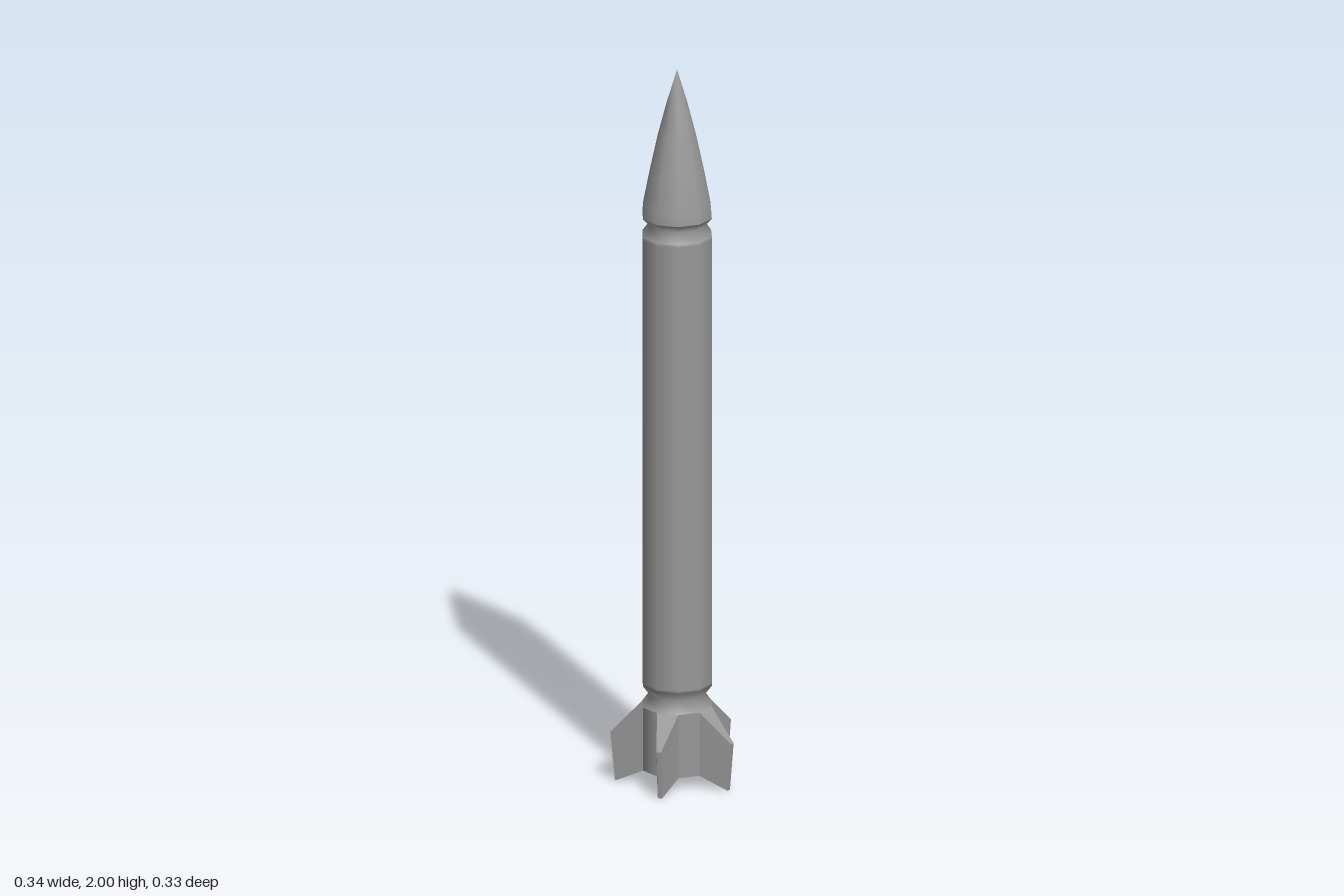
import * as THREE from 'three';

const SIDES = 10;
const R = 0.0965;
const material = new THREE.MeshStandardMaterial({ color: 0x999999 });

// Ten-sided, smoothly shaded section from [radius, height] pairs, listed bottom to top
function turned(name, profile) {
  const points = profile.map(([r, y]) => new THREE.Vector2(r, y));
  const mesh = new THREE.Mesh(new THREE.LatheGeometry(points, SIDES, Math.PI / SIDES), material);
  mesh.name = name;
  return mesh;
}

// Nose cone whose shading rounds off at the tip
function noseCone() {
  const mesh = turned('noseCone', [
    [R, 1.588], [0.094, 1.62], [0.076, 1.71], [0.054, 1.81], [0.029, 1.905], [0, 2]
  ]);
  const { position, normal } = mesh.geometry.attributes;
  for (let i = 0; i < position.count; i++) {
    if (position.getY(i) > 1.999) normal.setXYZ(i, 0, 1, 0);
  }
  return mesh;
}

// Wedge fin pointing to +z, wide at the root and narrow at the swept tip
function finGeometry() {
  const geometry = new THREE.BoxGeometry(1, 1, 1);
  const p = geometry.attributes.position;
  for (let i = 0; i < p.count; i++) {
    const tip = p.getZ(i) > 0;
    const top = p.getY(i) > 0;
    const x = Math.sign(p.getX(i)) * (tip ? 0.006 : 0.0298);
    const y = tip ? (top ? 0.133 : 0) : (top ? 0.213 : 0.035);
    const z = tip ? (top ? 0.178 : 0.166) : 0.0917;
    p.setXYZ(i, x, y, z);
  }
  geometry.computeVertexNormals();
  return geometry;
}

export function createModel() {
  const rocket = new THREE.Group();
  rocket.name = 'rocket';

  // Tail: recessed base, flat rim and straight skirt
  rocket.add(
    turned('nozzleCeiling', [[0, 0.06], [0.068, 0.06]]),
    turned('nozzleWall', [[0.068, 0.06], [0.074, 0.035]]),
    turned('tailRim', [[0.074, 0.035], [R, 0.035]]),
    turned('tailSkirt', [[R, 0.035], [R, 0.213]])
  );

  // Shoulder, neck, main tube and the groove under the nose; close rings keep the tube evenly shaded
  rocket.add(turned('body', [
    [R, 0.213], [0.075, 0.243], [R, 0.272], [R, 0.28],
    [R, 1.53], [R, 1.538], [0.076, 1.566], [R, 1.588]
  ]));

  rocket.add(noseCone());

  // Five fins on alternate sides of the tail
  const fin = finGeometry();
  for (let i = 0; i < 5; i++) {
    const mesh = new THREE.Mesh(fin, material);
    mesh.name = `fin${i + 1}`;
    mesh.rotation.y = (i * Math.PI * 2) / 5;
    rocket.add(mesh);
  }

  // Centre the five-fin footprint front to back
  rocket.position.z = -0.0165;
  const model = new THREE.Group();
  model.name = 'model';
  model.add(rocket);
  return model;
}
